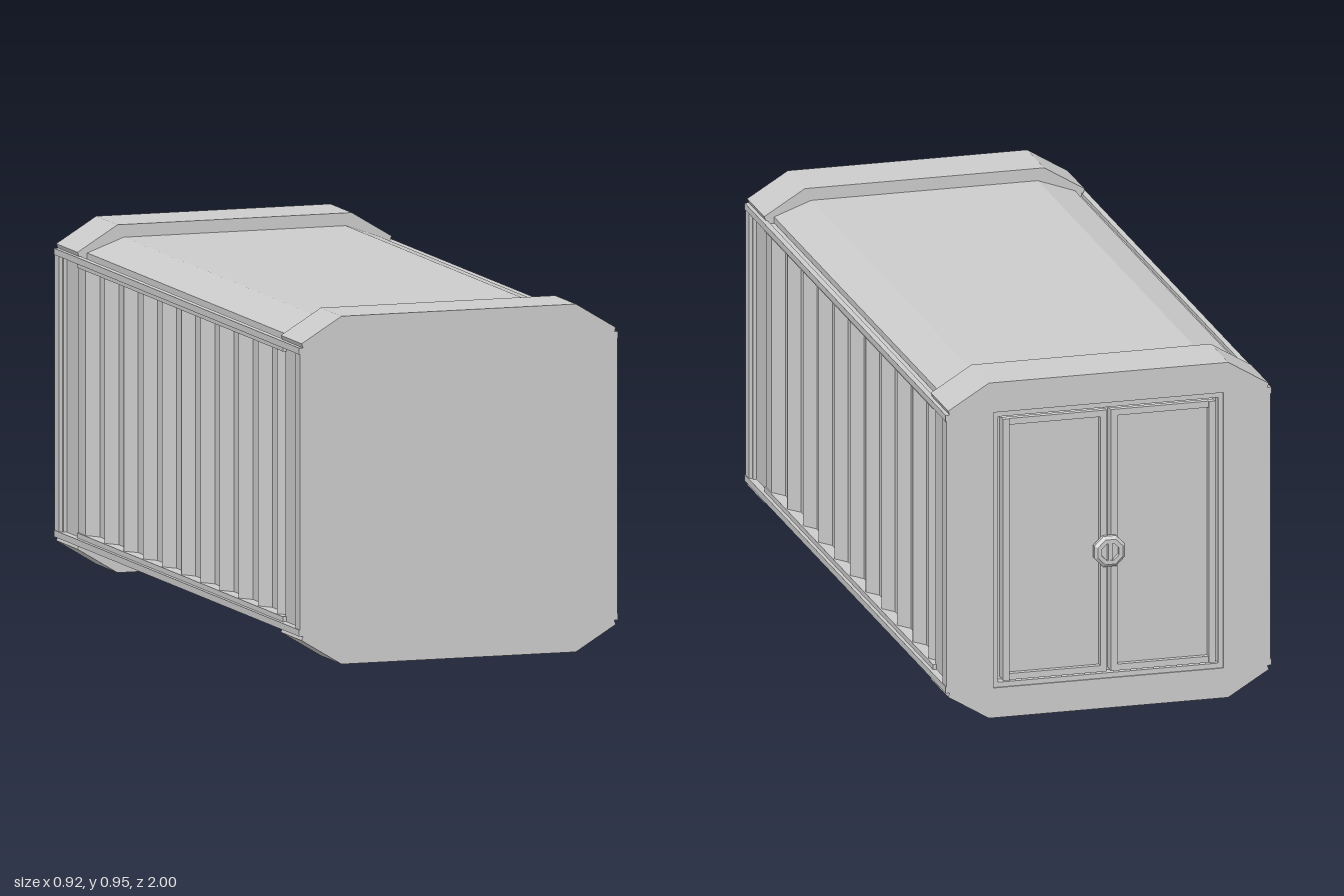
import * as THREE from 'three';

const grey = new THREE.MeshStandardMaterial({ color: 0xcccccc, flatShading: true, side: THREE.DoubleSide });
const MID = 0.4775; // height of the horizontal symmetry plane

function add(parent, name, geometry, x = 0, y = 0, z = 0) {
  const mesh = new THREE.Mesh(geometry, grey);
  mesh.name = name;
  mesh.position.set(x, y, z);
  parent.add(mesh);
  return mesh;
}

const box = (parent, name, w, h, d, x, y, z) => add(parent, name, new THREE.BoxGeometry(w, h, d), x, y, z);

// Closed outline from its upper right quarter, mirrored left and down
function outline(quarter) {
  const up = quarter.map(([x, y]) => [x, y - MID]);
  const back = up.slice().reverse();
  const pts = [
    ...up,
    ...back.map(([x, y]) => [x, -y]),
    ...up.map(([x, y]) => [-x, -y]),
    ...back.map(([x, y]) => [-x, y]),
  ];
  return new THREE.Shape(pts.map(([x, y]) => new THREE.Vector2(x, y + MID)));
}

function slab(parent, name, shape, z0, z1) {
  return add(parent, name, new THREE.ExtrudeGeometry(shape, { depth: z1 - z0, bevelEnabled: false }), 0, 0, z0);
}

function rectHole(x0, x1, y0, y1) {
  const p = new THREE.Path();
  p.moveTo(x0, y0).lineTo(x0, y1).lineTo(x1, y1).lineTo(x1, y0).closePath();
  return p;
}

// Rectangular moulding with an open middle
function frame(parent, name, x0, x1, y0, y1, t, z0, z1) {
  const s = new THREE.Shape([[x0, y0], [x1, y0], [x1, y1], [x0, y1]].map(([x, y]) => new THREE.Vector2(x, y)));
  s.holes.push(rectHole(x0 + t, x1 - t, y0 + t, y1 - t));
  return slab(parent, name, s, z0, z1);
}

// Corrugated wall: each ridge falls on a slope to a recessed flat, then steps out again
function corrugatedWall(outer, inner) {
  const pts = [[0.84, outer]];
  for (let i = 0; i < 11; i++) {
    const z = 0.783 - i * 0.1545;
    pts.push([z, outer], [z - 0.038, inner]);
    if (i < 10) pts.push([z - 0.14, inner], [z - 0.1535, outer]);
  }
  pts.push([-0.82, inner]);
  const s = new THREE.Shape();
  s.moveTo(0.84, 0.38);
  pts.forEach(([z, x]) => s.lineTo(z, x));
  s.lineTo(-0.82, 0.38);
  const g = new THREE.ExtrudeGeometry(s, { depth: 0.74, bevelEnabled: false });
  // shape axes (z, x) and extrusion upward
  g.applyMatrix4(new THREE.Matrix4().set(0, 1, 0, 0, 0, 0, 1, MID - 0.37, 1, 0, 0, 0, 0, 0, 0, 1));
  return g;
}

export function createModel() {
  const model = new THREE.Group();
  model.name = 'cargoContainer';

  // Long body with chamfered roof and floor
  slab(model, 'body', outline([[0.32, 0.92], [0.425, 0.882], [0.425, 0.865], [0.41, 0.855]]), -0.9, 0.95);

  // End caps, slightly larger than the body
  const capQuarter = [[0.338, 0.955], [0.453, 0.885], [0.446, 0.866], [0.44, 0.855]];
  slab(model, 'frontCap', outline(capQuarter), 0.832, 0.97);
  slab(model, 'backCap', outline(capQuarter), -0.95, -0.808);
  const plateQuarter = [[0.338, 0.955], [0.453, 0.885], [0.446, 0.866], [0.453, 0.855]];
  slab(model, 'frontPlate', outline(plateQuarter), 0.96, 1);
  const backShape = outline(plateQuarter);
  backShape.holes.push(rectHole(-0.325, 0.325, 0.085, 0.87));
  slab(model, 'backPlate', backShape, -0.98, -0.94);

  // Sides, the second a half turn of the first
  const wall = corrugatedWall(0.446, 0.418);
  for (const side of [1, -1]) {
    const group = new THREE.Group();
    group.name = side > 0 ? 'leftSide' : 'rightSide';
    model.add(group);
    const panel = add(group, 'corrugatedWall', wall);
    if (side < 0) {
      panel.rotation.y = Math.PI;
      panel.position.z = 0.02;
    }
    for (const m of [1, -1]) {
      const level = m > 0 ? 'upper' : 'lower';
      box(group, level + 'Rail', 0.016, 0.018, 1.98, side * 0.452, MID + m * 0.387, 0.01);
      box(group, level + 'RailWeb', 0.05, 0.008, 1.96, side * 0.425, MID + m * 0.382, 0.01);
      box(group, level + 'WallTrim', 0.04, 0.014, 1.66, side * 0.43, MID + m * 0.371, 0.01);
      // Corner posts at both ends
      const end = m > 0 ? 'front' : 'back';
      box(group, end + 'Post', 0.02, 0.757, 0.036, side * 0.448, MID, 0.01 + m * 0.971);
      box(group, end + 'PostStrip', 0.02, 0.757, 0.008, side * 0.44, MID, 0.01 + m * 0.945);
    }
  }

  // Double doors in the back plate
  const doors = new THREE.Group();
  doors.name = 'doors';
  model.add(doors);
  frame(doors, 'doorSurround', -0.325, 0.325, 0.085, 0.87, 0.014, -0.976, -0.95);
  for (const s of [1, -1]) {
    const a = s > 0 ? 0.006 : -0.3;
    const b = s > 0 ? 0.3 : -0.006;
    box(doors, 'doorLeaf', 0.294, 0.74, 0.02, (a + b) / 2, MID, -0.957);
    frame(doors, 'doorMoulding', a, b, 0.105, 0.85, 0.018, -0.982, -0.965);
    box(doors, 'hingeBar', 0.018, 0.745, 0.008, s * 0.291, MID, -0.982);
  }

  // Octagonal lock wheel with a grip bar
  const lock = new THREE.Group();
  lock.name = 'doorLock';
  lock.position.set(0, 0.45, 0);
  model.add(lock);
  const ring = new THREE.LatheGeometry(
    [[0.026, 0], [0.026, 0.02], [0.038, 0.02], [0.047, 0.012], [0.047, 0], [0.026, 0]].map(([x, y]) => new THREE.Vector2(x, y)), 8, Math.PI / 8);
  ring.rotateX(-Math.PI / 2);
  add(lock, 'lockRing', ring, 0, 0, -0.98);
  const hub = new THREE.CylinderGeometry(0.03, 0.03, 0.03, 8);
  hub.rotateX(Math.PI / 2);
  add(lock, 'lockHub', hub, 0, 0, -0.972);
  box(lock, 'lockGrip', 0.012, 0.05, 0.014, 0, 0, -0.991);

  return model;
}
